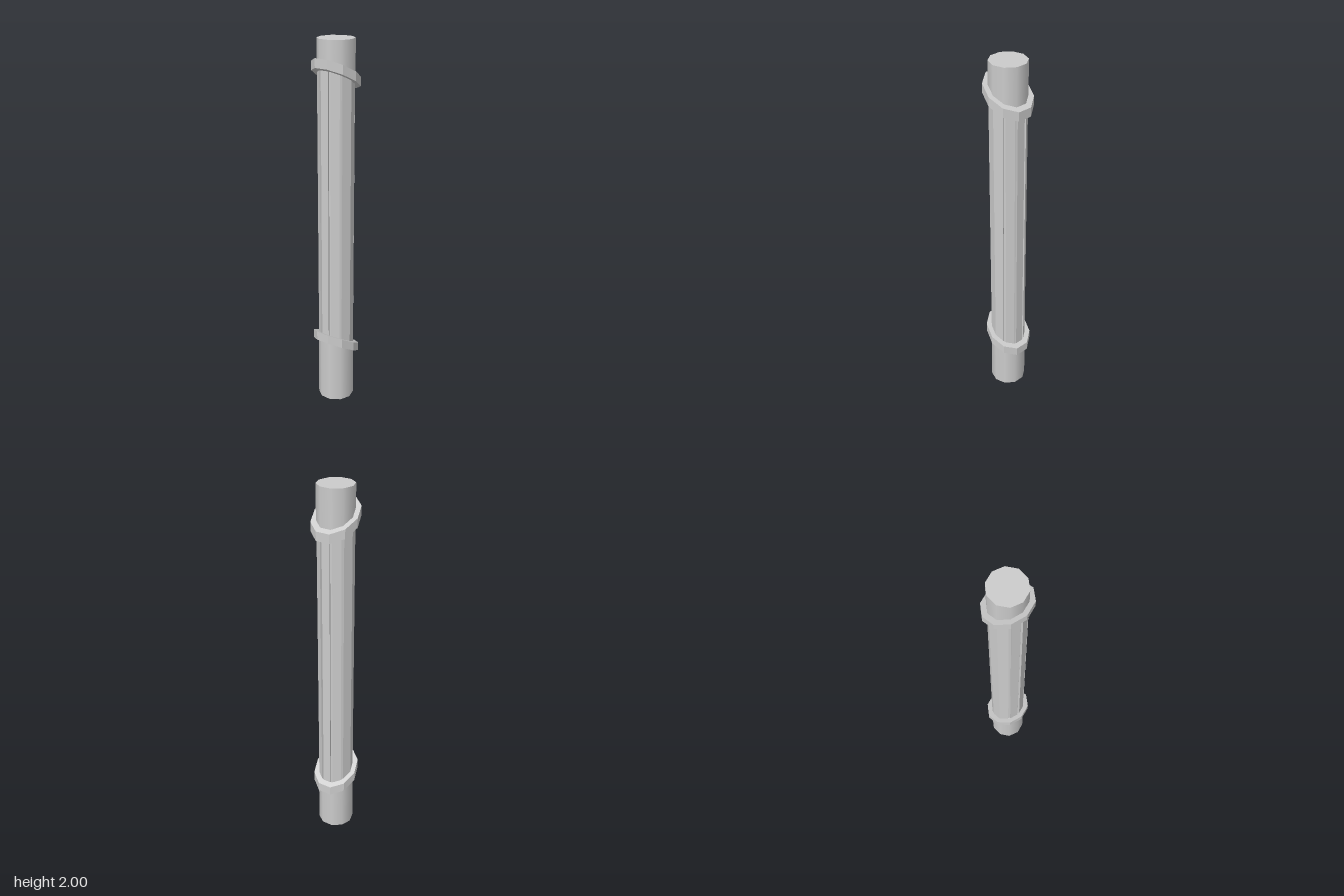
import * as THREE from 'three';

const SIDES = 10, R = 0.097, RING_R = 0.124, SLOPE = -0.53;
const grey = new THREE.MeshStandardMaterial({ color: 0xcccccc });
const greyFlat = new THREE.MeshStandardMaterial({ color: 0xcccccc, flatShading: true });

// Corner i of the decagon, with a corner on the z axis
function corner(i, r) {
  const a = (i / SIDES) * Math.PI * 2;
  return new THREE.Vector2(Math.sin(a) * r, Math.cos(a) * r);
}

function decagon(r) {
  return Array.from({ length: SIDES }, (_, i) => corner(i, r));
}

// Slant horizontal cuts down towards +x, leaving the vertices kept by the test alone
function shear(geometry, test = () => true) {
  const p = geometry.attributes.position;
  for (let i = 0; i < p.count; i++) {
    if (test(p.getY(i))) p.setY(i, p.getY(i) + SLOPE * p.getX(i));
  }
  return geometry;
}

// Upright prism between two heights with both ends slanted
function slantedPrism(shape, y0, y1) {
  const g = new THREE.ExtrudeGeometry(shape, { depth: y1 - y0, bevelEnabled: false });
  g.rotateX(-Math.PI / 2).translate(0, y0, 0);
  shear(g);
  g.computeVertexNormals();
  return g;
}

// Decagon with a narrow groove cut at each corner except the two on the z axis
function flutedShape() {
  const pts = [];
  for (let i = 0; i < SIDES; i++) {
    const c = corner(i, R);
    if (i % (SIDES / 2) === 0) {
      pts.push(c);
      continue;
    }
    const before = c.clone().lerp(corner(i - 1, R), 0.12);
    const after = c.clone().lerp(corner(i + 1, R), 0.12);
    const inward = c.clone().normalize().multiplyScalar(-0.013);
    pts.push(before, before.clone().add(inward), after.clone().add(inward), after);
  }
  return new THREE.Shape(pts);
}

export function createModel() {
  const group = new THREE.Group();
  const add = (name, geometry, material) => {
    const mesh = new THREE.Mesh(geometry, material);
    mesh.name = name;
    group.add(mesh);
  };

  // Plain ends, cut on the slant where they meet the rings
  const base = new THREE.CylinderGeometry(R, R, 0.33, SIDES).translate(0, 0.165, 0);
  add('lowerEnd', shear(base, y => y > 0.1), grey);
  const top = new THREE.CylinderGeometry(R, R, 0.175, SIDES).translate(0, 1.9125, 0);
  add('upperEnd', shear(top, y => y < 1.9), grey);

  // Grooved shaft
  add('groovedShaft', slantedPrism(flutedShape(), 0.33, 1.825), greyFlat);

  // Slanted collars
  const ring = new THREE.Shape(decagon(RING_R));
  ring.holes.push(new THREE.Path(decagon(R - 0.002)));
  add('lowerRing', slantedPrism(ring, 0.305, 0.355), greyFlat);
  add('upperRing', slantedPrism(ring, 1.8, 1.848), greyFlat);

  return group;
}
